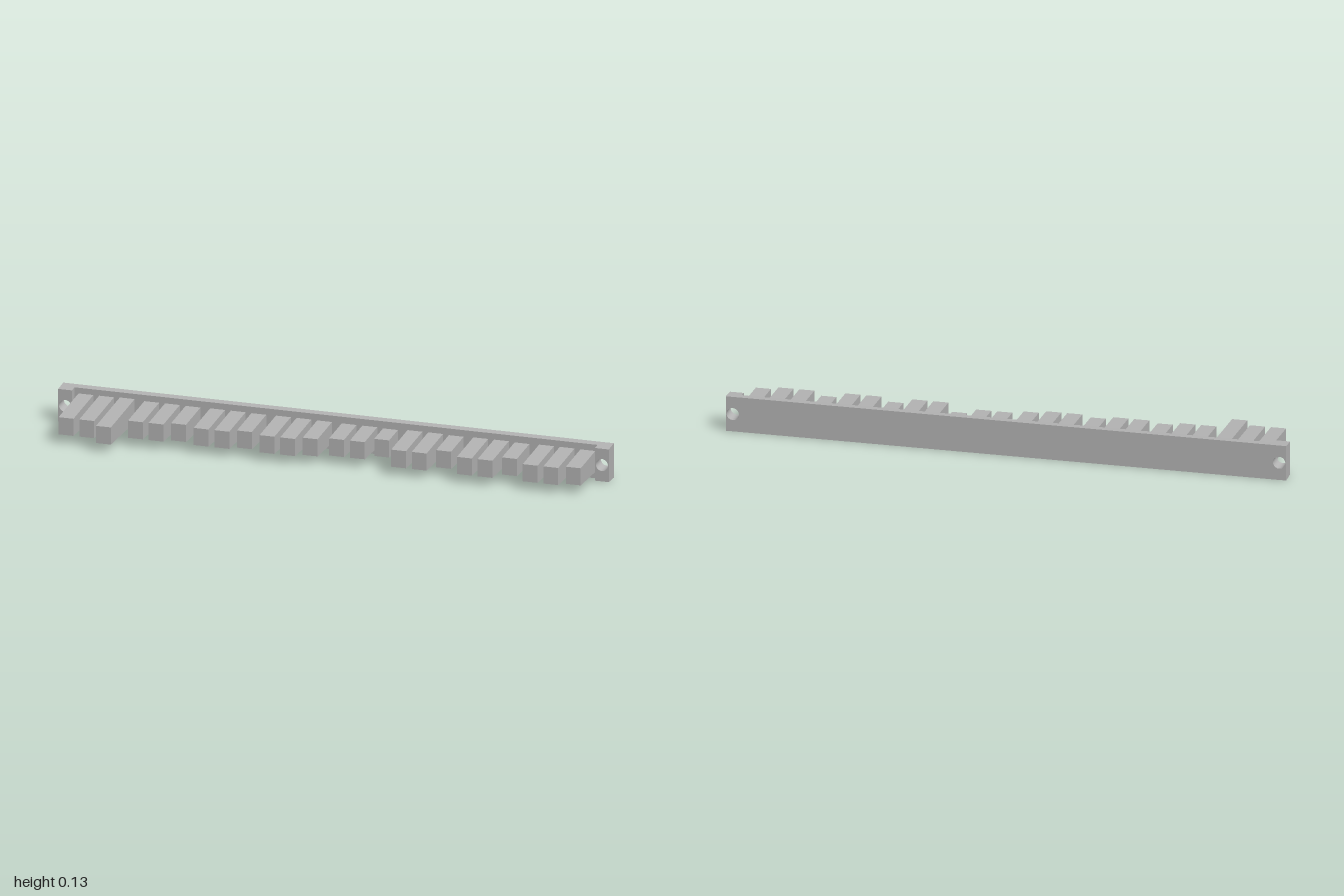
import * as THREE from 'three';

const MID = 0.0635;       // mid-height of the bar
const BACK = -0.149, FACE = -0.12, EAR = -0.092;

// Narrow the height of a geometry towards +z; vertices close to the middle (holes) stay put
function draft(geo, halfAt) {
  const p = geo.attributes.position;
  for (let i = 0; i < p.count; i++) {
    const dy = p.getY(i) - MID;
    if (Math.abs(dy) > 0.027) p.setY(i, MID + Math.sign(dy) * halfAt(p.getZ(i)));
  }
  geo.computeVertexNormals();
  return geo;
}

// Rectangular slab with screw holes, extruded from z0 to z1
function slab(x0, x1, z0, z1, holes) {
  const s = new THREE.Shape();
  s.moveTo(x0, 0).lineTo(x1, 0).lineTo(x1, 2 * MID).lineTo(x0, 2 * MID).closePath();
  for (const x of holes) {
    s.holes.push(new THREE.Path().absarc(x, MID, 0.022, 0, Math.PI * 2, true));
  }
  const g = new THREE.ExtrudeGeometry(s, { depth: z1 - z0, bevelEnabled: false, curveSegments: 20 });
  g.translate(0, 0, z0);
  return draft(g, z => MID - (z - BACK) * 0.06);
}

export function createModel() {
  const model = new THREE.Group();
  model.name = 'toothedBar';
  const grey = new THREE.MeshStandardMaterial({ color: 0xb4b4b4 });
  grey.name = 'plain grey';

  const add = (name, geo) => {
    const m = new THREE.Mesh(geo, grey);
    m.name = name;
    model.add(m);
  };

  // Backing plate and the raised mounting ears at its ends
  add('backPlate', slab(-1, 1, BACK, FACE, [-0.975, 0.975]));
  add('leftEar', slab(0.95, 1, FACE, EAR, [0.975]));
  add('rightEar', slab(-1, -0.95, FACE, EAR, [-0.975]));

  // Eight groups of three teeth; each number is the z of a tooth tip
  const tips = [
    [0.105, 0.105, 0.149], [0.065, 0.065, 0.044], [0.065, 0.065, 0.044], [0.065, 0.065, 0.044],
    [0.022, 0.022, -0.021], [0.065, 0.065, 0.022], [0.065, 0.065, 0.022], [0.065, 0.065, 0.044],
  ];
  tips.forEach((group, g) => group.forEach((tip, t) => {
    const x = -0.833 + g * 0.239 + (t - 1) * 0.075;
    const root = FACE - 0.01;
    const geo = new THREE.BoxGeometry(0.054, 0.08, tip - root);
    geo.translate(x, MID, (tip + root) / 2);
    add('tooth', draft(geo, z => 0.0315 + (tip - z) * 0.042));
  }));
  return model;
}
